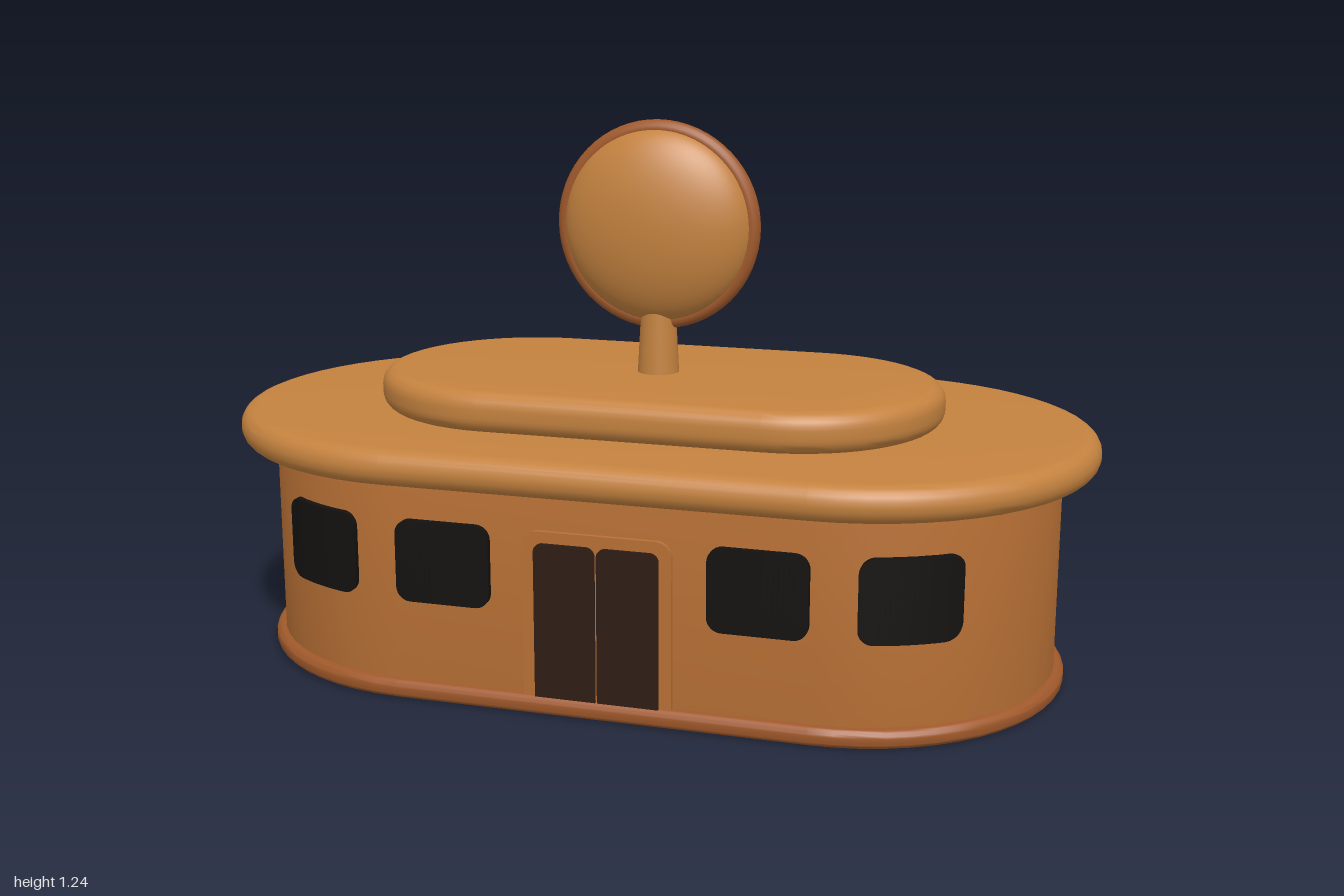
import * as THREE from 'three';
import { toCreasedNormals } from 'three/addons/utils/BufferGeometryUtils.js';

const paint = (color) => new THREE.MeshStandardMaterial({ color });
const wallMat = paint(0xb87035);
const roofMat = paint(0xc4823f);
const trimMat = paint(0xa0592b);
const glassMat = paint(0x141210);
const doorMat = paint(0x2e1c14);

const WALL_X = 0.92, WALL_Z = 0.46;

export function createModel() {
  const model = new THREE.Group();

  function add(name, geometry, material, x = 0, y = 0, z = 0) {
    const mesh = new THREE.Mesh(geometry, material);
    mesh.name = name;
    mesh.position.set(x, y, z);
    model.add(mesh);
    return mesh;
  }

  // Slab with semicircular ends and rounded top and bottom edges
  function slab(halfX, halfZ, height, bevel) {
    const r = halfZ - bevel, straight = halfX - halfZ, n = 28, points = [];
    for (const side of [1, -1]) {
      for (let i = 0; i <= n; i++) {
        const a = -Math.PI / 2 + (Math.PI * i) / n;
        points.push(new THREE.Vector2(side * (straight + r * Math.cos(a)), side * r * Math.sin(a)));
      }
    }
    const geometry = new THREE.ExtrudeGeometry(new THREE.Shape(points), {
      depth: height - 2 * bevel, bevelThickness: bevel, bevelSize: bevel, bevelSegments: 6,
    });
    geometry.rotateX(-Math.PI / 2).translate(0, bevel, 0);
    return toCreasedNormals(geometry, 0.6);
  }

  // Upright panel from x0 to x1 with rounded top corners of radius r
  function archPanel(x0, x1, y0, y1, r, depth) {
    const s = new THREE.Shape();
    s.moveTo(x0, y0);
    s.lineTo(x1, y0);
    s.lineTo(x1, y1 - r);
    s.absarc(x1 - r, y1 - r, r, 0, Math.PI / 2);
    s.lineTo(x0 + r, y1);
    s.absarc(x0 + r, y1 - r, r, Math.PI / 2, Math.PI);
    const geometry = new THREE.ExtrudeGeometry(s, { depth, bevelEnabled: false, curveSegments: 8 });
    return toCreasedNormals(geometry, 0.6);
  }

  // Depth of the wall surface, pushed out by a margin, at a given x
  function wallDepth(x, margin) {
    const r = WALL_Z + margin, dx = Math.max(0, Math.abs(x) - (WALL_X - WALL_Z));
    return Math.sqrt(r * r - dx * dx);
  }

  // Rounded window pane bent to follow the wall
  function windowPane(cx, cy, w, h, r) {
    const geometry = new THREE.BoxGeometry(2, 2, 2, 28, 1, 1);
    const p = geometry.attributes.position;
    for (let i = 0; i < p.count; i++) {
      const dx = (w / 2) * Math.sin((p.getX(i) * Math.PI) / 2);
      const over = Math.max(0, Math.abs(dx) - (w / 2 - r));
      const halfH = h / 2 - r + Math.sqrt(Math.max(0, r * r - over * over));
      const x = cx + dx;
      p.setXYZ(i, x, cy + p.getY(i) * halfH, wallDepth(x, p.getZ(i) > 0 ? 0.014 : -0.015));
    }
    return toCreasedNormals(geometry, 0.6);
  }

  // Building shell, from the ground up
  add('basePlinth', slab(0.942, 0.483, 0.042, 0.016), trimMat);
  add('walls', slab(WALL_X, WALL_Z, 0.48, 0.012), wallMat, 0, 0.022);
  add('mainRoof', slab(1, 0.54, 0.08, 0.038), roofMat, 0, 0.495);
  add('upperRoof', slab(0.657, 0.339, 0.092, 0.036), roofMat, 0, 0.574);

  // Two windows on each side of the entrance
  for (const side of [1, -1]) {
    const label = side > 0 ? 'left' : 'right';
    add(label + 'InnerWindow', windowPane(side * 0.348, 0.318, 0.215, 0.184, 0.032), glassMat);
    add(label + 'OuterWindow', windowPane(side * 0.655, 0.318, 0.2, 0.184, 0.032), glassMat);
  }

  // Entrance with a double door
  add('doorFrame', archPanel(-0.165, 0.165, 0.03, 0.41, 0.035, 0.035), wallMat, 0, 0, 0.435);
  add('leftDoor', archPanel(0.002, 0.138, 0.035, 0.385, 0.02, 0.035), doorMat, 0, 0, 0.44);
  add('rightDoor', archPanel(-0.138, -0.002, 0.035, 0.385, 0.02, 0.035), doorMat, 0, 0, 0.44);

  // Roof sign: tapered post, lens-shaped disc and rim
  add('signPost', new THREE.CylinderGeometry(0.037, 0.049, 0.22, 32), roofMat, 0, 0.75, 0);
  const disc = add('signDisc', new THREE.SphereGeometry(0.22, 48, 32), roofMat, 0, 1.003, 0);
  disc.scale.z = 0.09 / 0.22;
  add('signRim', new THREE.TorusGeometry(0.217, 0.02, 16, 64), trimMat, 0, 1.003, 0);

  return model;
}
